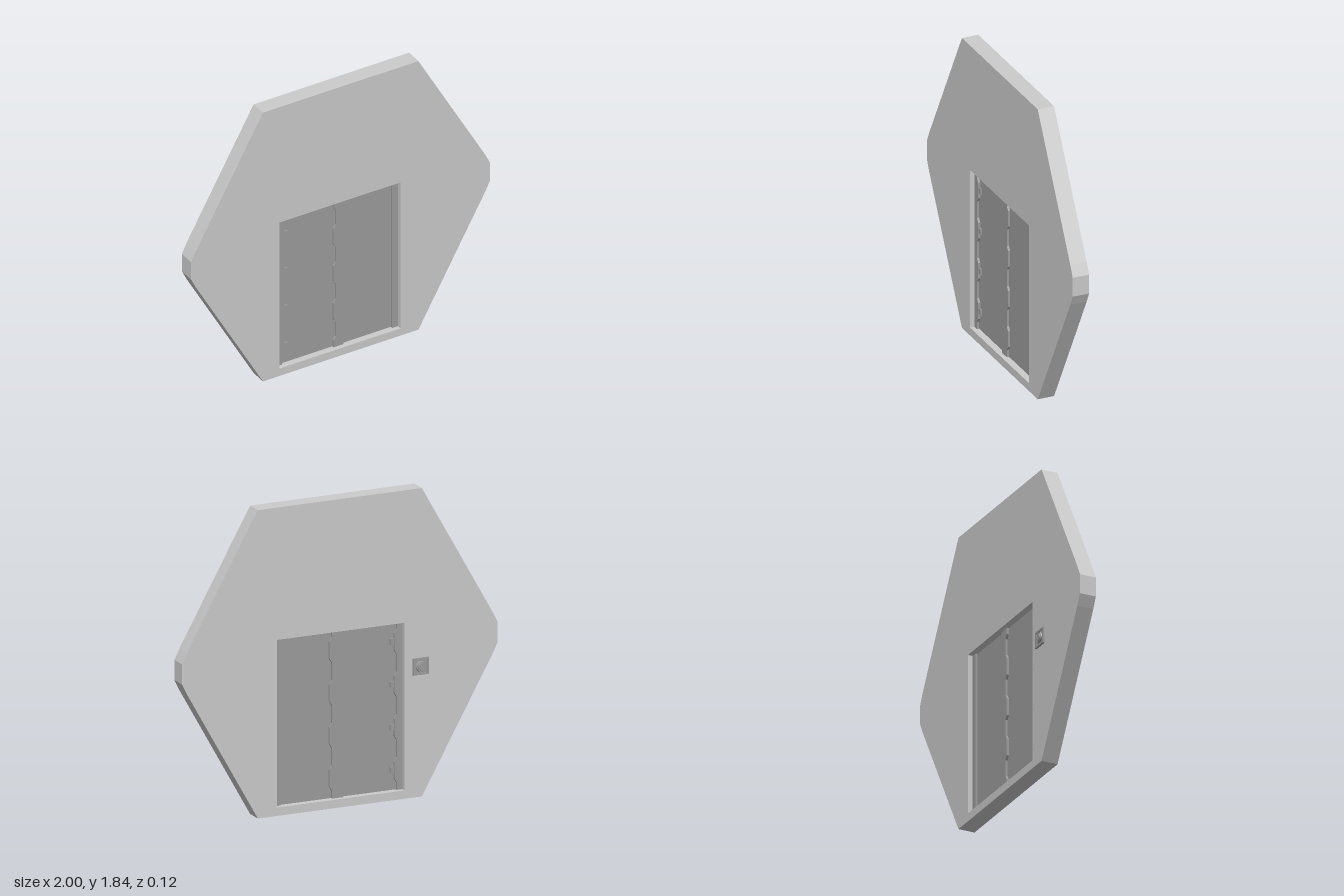
import * as THREE from 'three';

const grey = new THREE.MeshStandardMaterial({ color: 0xcccccc });
const dark = new THREE.MeshStandardMaterial({ color: 0x9c9c9c });

const toShape = (pts) => new THREE.Shape(pts.map(([x, y]) => new THREE.Vector2(x, y)));

// Flat outline extruded between two z planes
function slab(name, shape, z0, z1, material) {
  const geo = new THREE.ExtrudeGeometry(shape, { depth: z1 - z0, bevelEnabled: false });
  geo.translate(0, 0, z0);
  const mesh = new THREE.Mesh(geo, material);
  mesh.name = name;
  return mesh;
}

const rect = (x0, x1, y0, y1) => [[x0, y0], [x1, y0], [x1, y1], [x0, y1]];

// Stepped edge running up the door, pushed sideways at each hinge height
const hingeHeights = [0.17, 0.425, 0.68, 0.935];
function wavyEdge(x, y0, y1) {
  const pts = [[x, y0]];
  for (const y of hingeHeights) {
    pts.push([x, y - 0.075], [x + 0.016, y - 0.05], [x + 0.016, y + 0.05], [x, y + 0.075]);
  }
  pts.push([x, y1]);
  return pts;
}

export function createModel() {
  const model = new THREE.Group();
  model.name = 'hexagonalDoorWall';

  // Hexagonal wall with clipped side corners and a door opening
  const half = [[0.52, 0], [0.968, 0.795], [1, 0.86], [1, 0.98], [0.968, 1.045], [0.52, 1.84]];
  const outline = toShape([...half, ...half.map(([x, y]) => [-x, y]).reverse()]);
  const x0 = -0.41, x1 = 0.4, y0 = 0.05, y1 = 1.05;
  outline.holes.push(toShape(rect(x0, x1, y0, y1)));
  model.add(slab('wall', outline, -0.042, 0.061, grey));

  // Door: two thin panels with thicker strips at the sides and centre
  const door = new THREE.Group();
  door.name = 'door';
  const zBack = -0.014, zFront = 0.033;
  door.add(slab('doorPanels', toShape(rect(x0, x1, y0, y1)), 0, 0.019, dark));
  door.add(slab('hingeStrip', toShape([[x0, y0], ...wavyEdge(-0.375, y0, y1), [x0, y1]]), zBack, zFront, dark));
  door.add(slab('centreStrip',
    toShape([...wavyEdge(0.035, y0, y1), ...wavyEdge(-0.03, y0, y1).reverse()]), zBack, zFront, dark));
  door.add(slab('latchStrip', toShape(rect(0.362, x1, y0, y1)), zBack, zFront, dark));

  // Hinge tabs reaching over the panel
  for (const y of hingeHeights) {
    door.add(slab('hingeTab', toShape(rect(-0.365, -0.335, y - 0.018, y + 0.018)), zBack + 0.004, zFront - 0.004, dark));
  }
  model.add(door);

  // Control panel on the back
  const control = new THREE.Group();
  control.name = 'controlPanel';
  control.position.set(-0.51, 0.78, 0);
  const plate = toShape(rect(-0.05, 0.05, -0.05, 0.05));
  control.add(slab('controlPlate', plate, -0.049, -0.041, dark));
  const rim = toShape(rect(-0.05, 0.05, -0.05, 0.05));
  rim.holes.push(toShape(rect(-0.039, 0.039, -0.039, 0.039)));
  control.add(slab('controlRim', rim, -0.053, -0.048, dark));
  const addDisc = (name, r0, r1, za, zb) => {
    const disc = new THREE.Mesh(new THREE.CylinderGeometry(r0, r1, za - zb, 24), dark);
    disc.name = name;
    disc.rotation.x = -Math.PI / 2;
    disc.position.z = (za + zb) / 2;
    control.add(disc);
  };
  addDisc('buttonBase', 0.029, 0.033, -0.048, -0.057);
  addDisc('button', 0.021, 0.023, -0.056, -0.061);
  model.add(control);

  return model;
}
